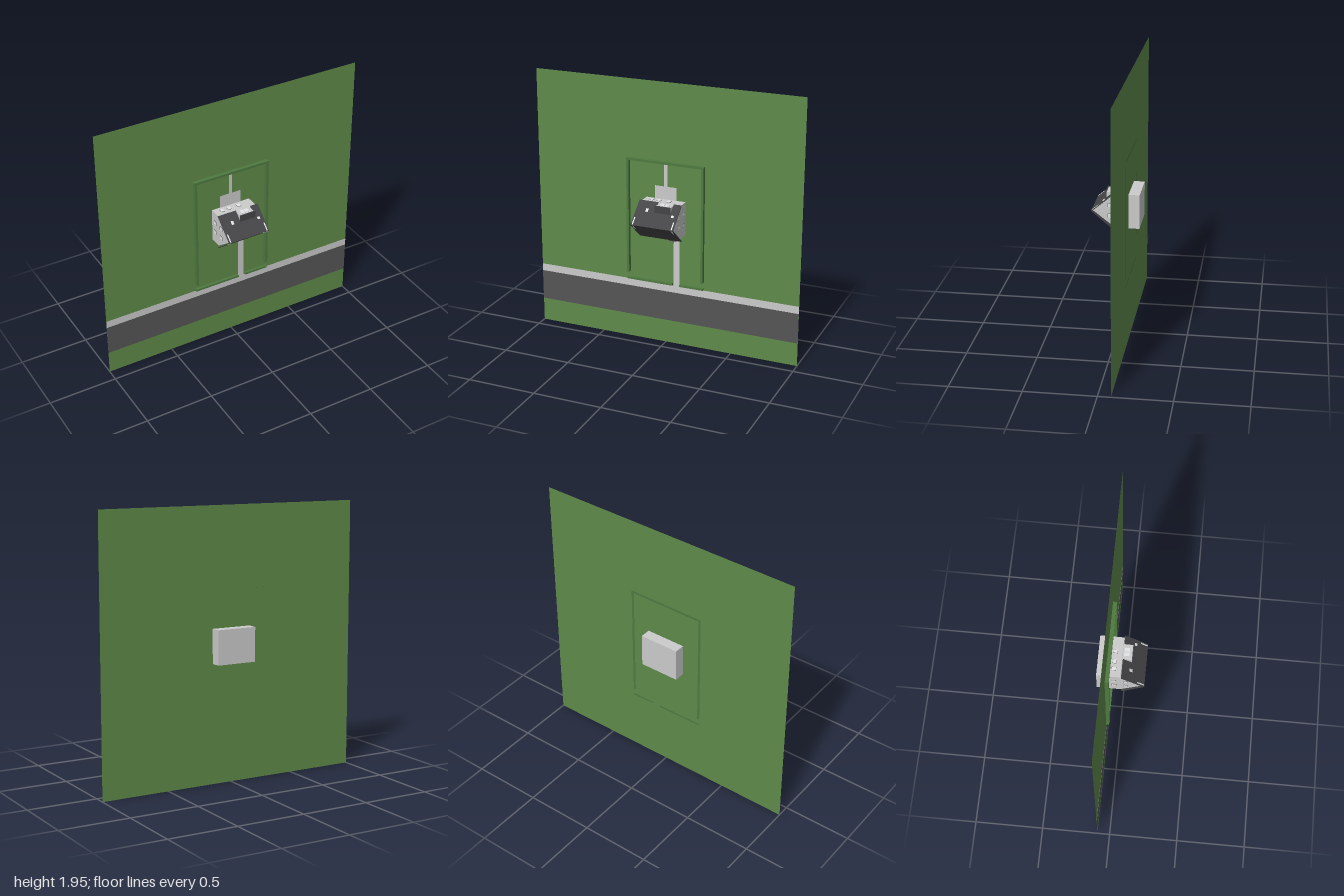
import * as THREE from 'three';

const mat = (color, side = THREE.FrontSide) =>
  new THREE.MeshStandardMaterial({ color, side, flatShading: true });
const GREEN = mat(0x5f8a4a), LAWN = mat(0x5f8a4a, THREE.DoubleSide), HEDGE = mat(0x4f7a40);
const ROAD = mat(0x555555), PAVE = mat(0xcccccc), WALL = mat(0xcccccc);
const ROOF = mat(0x454547), GLASS = mat(0xe4e6e8), FRAME = mat(0x777777);

const GROUND = -0.09;      // lawn level along z
const RIDGE = 0.975;       // y of the roof ridge

function add(parent, name, geometry, material) {
  const mesh = new THREE.Mesh(geometry, material);
  mesh.name = name;
  parent.add(mesh);
  return mesh;
}

// Box given by its extents on each axis
function box(parent, name, [x0, x1], [y0, y1], [z0, z1], material) {
  const mesh = add(parent, name, new THREE.BoxGeometry(x1 - x0, y1 - y0, z1 - z0), material);
  mesh.position.set((x0 + x1) / 2, (y0 + y1) / 2, (z0 + z1) / 2);
  return mesh;
}

// Flat strip lying just above the lawn
function strip(parent, name, [x0, x1], [y0, y1], lift, material) {
  const mesh = add(parent, name, new THREE.PlaneGeometry(x1 - x0, y1 - y0), material);
  mesh.position.set((x0 + x1) / 2, (y0 + y1) / 2, GROUND + lift);
}

function makeGrounds() {
  const g = new THREE.Group();
  g.name = 'grounds';
  const lawn = add(g, 'lawn', new THREE.PlaneGeometry(2, 1.945), LAWN);
  lawn.position.set(0, 0.9725, GROUND);
  strip(g, 'road', [-1, 1], [0.175, 0.4], 0.002, ROAD);
  strip(g, 'sidewalk', [-1, 1], [0.4, 0.455], 0.002, PAVE);
  strip(g, 'frontPath', [0.06, 0.105], [0.455, 0.86], 0.002, PAVE);
  strip(g, 'patio', [-0.085, 0.08], [1.09, 1.195], 0.002, PAVE);
  strip(g, 'gardenPath', [-0.015, 0.01], [1.195, 1.36], 0.002, PAVE);

  // Hedge around the plot
  const high = [GROUND, -0.063], low = [GROUND, -0.07];
  for (const x of [-0.295, 0.273]) box(g, 'sideHedge', [x, x + 0.018], [0.515, 1.38], high, HEDGE);
  box(g, 'backHedge', [-0.277, 0.273], [1.363, 1.38], high, HEDGE);
  box(g, 'frontHedgeLeft', [0.11, 0.291], [0.459, 0.474], low, HEDGE);
  box(g, 'frontHedgeRight', [-0.295, 0.055], [0.459, 0.474], low, HEDGE);
  return g;
}

// Roof slope: local y runs from the ridge down to the eave, local z is its normal
function makeSlope(name, notched) {
  const slope = new THREE.Group();
  slope.name = name;
  slope.position.set(0, RIDGE, 0.168);
  slope.rotation.x = -Math.atan2(0.16, 0.135);
  const w = 0.159, eave = 0.209;
  const notch = notched ? [[0.1, eave], [0.1, 0.125], [-0.016, 0.125], [-0.016, eave]] : [];
  const outline = [[-w, 0], [w, 0], [w, eave], ...notch, [-w, eave]];
  const shape = new THREE.Shape(outline.map(([x, y]) => new THREE.Vector2(x, y)));
  const sheet = new THREE.ExtrudeGeometry(shape, { depth: 0.005, bevelEnabled: false });
  sheet.translate(0, 0, -0.005);
  add(slope, 'roofSheet', sheet, ROOF);
  // Pale strips by the verges
  for (const x of [-0.146, 0.146])
    box(slope, 'vergeStrip', [x - 0.004, x + 0.004], [0.005, 0.066], [-0.002, 0.002], GLASS);
  return slope;
}

function makeHouse() {
  const g = new THREE.Group();
  g.name = 'house';

  // Walls, gables and basement in one five-sided prism
  const profile = [[0.167, 0.855], [0.167, 1.1], [0, 1.1], [-0.155, RIDGE], [0, 0.855]];
  const shape = new THREE.Shape(profile.map(([x, y]) => new THREE.Vector2(x, y)));
  const walls = new THREE.ExtrudeGeometry(shape, { depth: 0.296, bevelEnabled: false });
  walls.rotateY(Math.PI / 2).translate(-0.149, 0, 0);
  add(g, 'walls', walls, WALL);

  // Two roof slopes, with skylights on the garden side
  const gardenSlope = makeSlope('gardenSlope', true);
  box(gardenSlope, 'skylight', [-0.086, -0.067], [0.119, 0.146], [-0.002, 0.003], GLASS);
  box(gardenSlope, 'skylight', [0.113, 0.132], [0.1, 0.118], [-0.002, 0.003], GLASS);
  g.add(gardenSlope);
  const streetSide = new THREE.Group();
  streetSide.name = 'streetSide';
  const streetSlope = makeSlope('streetSlope', false);
  streetSlope.position.y = 0;
  streetSide.position.y = RIDGE;
  streetSide.rotation.z = Math.PI;
  streetSide.add(streetSlope);
  g.add(streetSide);

  // Flat-topped dormer
  box(g, 'dormerWall', [-0.014, 0.098], [1.0, 1.098], [-0.002, 0.068], WALL);
  box(g, 'dormerRoof', [-0.018, 0.102], [1.045, 1.104], [0.068, 0.075], ROOF);
  for (const x of [0.025, 0.058])
    box(g, 'dormerWindow', [x - 0.013, x + 0.013], [1.095, 1.101], [-0.025 + 0.0, 0.012], GLASS).position.z = 0.03;

  // Windows on the long walls
  for (const x of [-0.09, -0.035, 0.04]) {
    box(g, 'gardenWindowFrame', [x - 0.014, x + 0.014], [1.098, 1.102], [-0.066, -0.034], FRAME);
    box(g, 'gardenWindow', [x - 0.012, x + 0.012], [1.099, 1.104], [-0.064, -0.036], GLASS);
  }
  for (const x of [-0.1, -0.03])
    box(g, 'streetWindow', [x - 0.016, x + 0.016], [0.851, 0.856], [-0.064, -0.032], GLASS);

  // Two windows per floor on both gable walls
  for (const [side, wallX] of [[1, 0.147], [-1, -0.149]])
    for (const z of [-0.045, 0.038])
      for (const y of [0.943, 1.02]) {
        const frame = box(g, 'gableWindowFrame', [0, 0.004], [y - 0.015, y + 0.015], [z - 0.017, z + 0.017], FRAME);
        const pane = box(g, 'gableWindow', [0, 0.006], [y - 0.012, y + 0.012], [z - 0.014, z + 0.014], GLASS);
        frame.position.x = pane.position.x = wallX + side * 0.001;
      }

  // Front door and canopy
  box(g, 'frontDoor', [0.066, 0.096], [0.851, 0.856], [GROUND, -0.03], FRAME);
  box(g, 'doorCanopy', [0.054, 0.108], [0.822, 0.857], [-0.026, -0.02], ROOF);
  return g;
}

export function createModel() {
  const model = new THREE.Group();
  model.name = 'houseAndPlot';
  model.add(makeGrounds(), makeHouse());
  return model;
}
